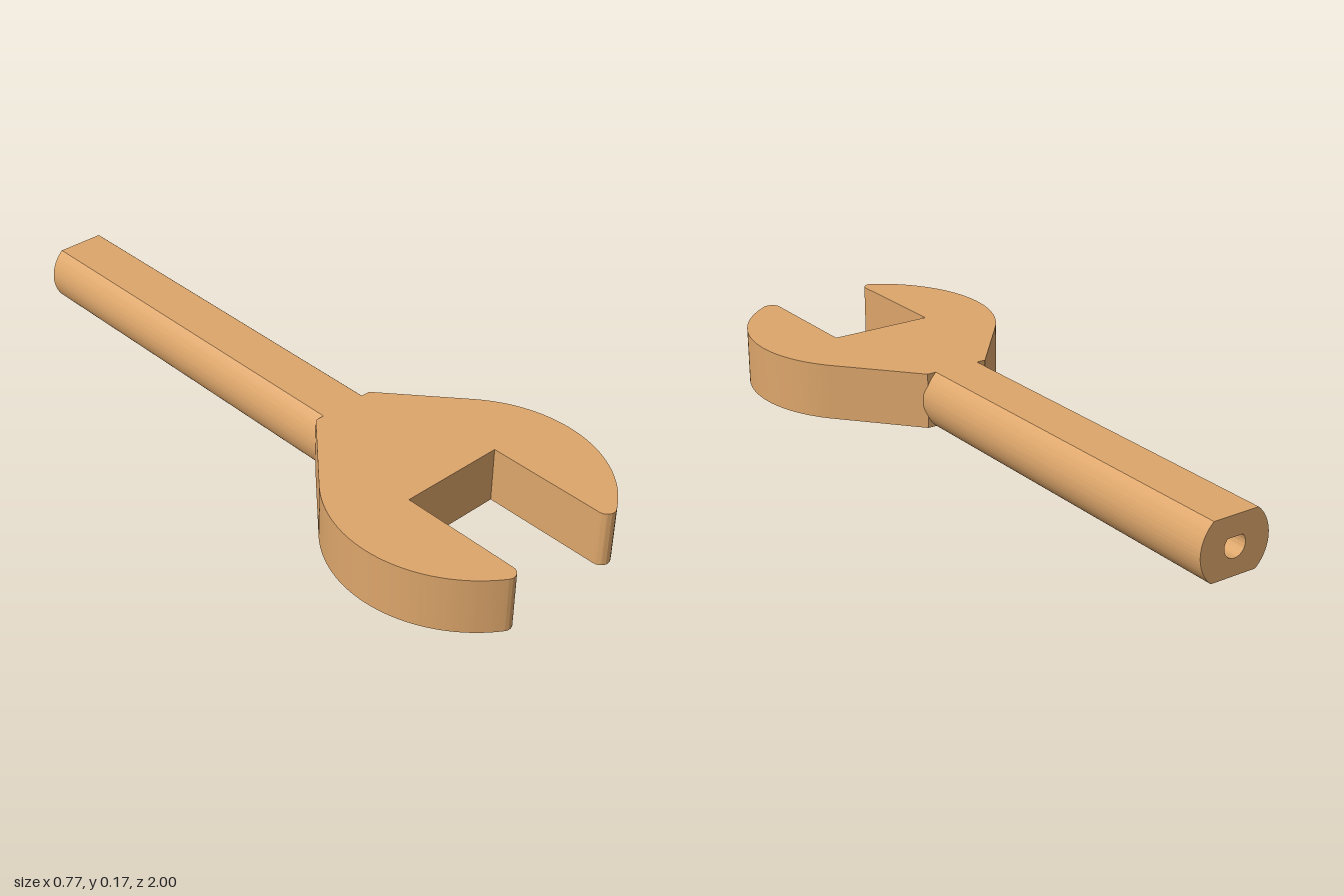
import * as THREE from 'three';
import { toCreasedNormals } from 'three/addons/utils/BufferGeometryUtils.js';

const THICK = 0.167; // overall thickness

function extrude(shape, depth) {
  return new THREE.ExtrudeGeometry(shape, { depth, bevelEnabled: false, curveSegments: 32 });
}

// Open-ended jaw outline, drawn in x / z
function headShape() {
  const R = 0.383, cz = 0.669;          // outer round
  const r = 0.027, jaw = 0.16;          // tip rounding, half jaw opening
  const neckX = 0.1, neckZ = 0.2, floorZ = 0.615;
  const tipX = jaw + r;
  const tipA = Math.acos(tipX / (R - r));
  const tipZ = cz + (R - r) * Math.sin(tipA);
  // angle where the straight neck flank touches the round
  const d = Math.hypot(neckX, cz - neckZ);
  const flankA = Math.atan2(neckZ - cz, neckX) + Math.acos(R / d);

  const s = new THREE.Shape();
  s.moveTo(-neckX, neckZ);
  s.lineTo(neckX, neckZ);
  s.absarc(0, cz, R, flankA, tipA, false);
  s.absarc(tipX, tipZ, r, tipA, Math.PI, false);
  s.lineTo(jaw, floorZ);
  s.lineTo(-jaw, floorZ);
  s.absarc(-tipX, tipZ, r, 0, Math.PI - tipA, false);
  s.absarc(0, cz, R, Math.PI - tipA, Math.PI - flankA, false);
  s.closePath();
  return s;
}

// Round bar with flats above and below, and a teardrop bore
function handleShape() {
  const R = 0.11, a = Math.asin(THICK / 2 / R);
  const s = new THREE.Shape();
  s.absarc(0, 0, R, -a, a, false);
  s.absarc(0, 0, R, Math.PI - a, Math.PI + a, false);
  s.closePath();
  const r = 0.034, bore = new THREE.Path();
  bore.moveTo(0, r * Math.SQRT2);
  bore.absarc(0, 0, r, Math.PI * 0.75, Math.PI * 2.25, false);
  bore.closePath();
  s.holes.push(bore);
  return s;
}

export function createModel() {
  const group = new THREE.Group();
  group.name = 'wrench';
  const tan = new THREE.MeshStandardMaterial({ color: 0xdda66b });
  tan.name = 'tan';

  const headGeo = extrude(headShape(), THICK);
  headGeo.rotateX(Math.PI / 2).translate(0, THICK, 0);
  const head = new THREE.Mesh(toCreasedNormals(headGeo, 0.4), tan);
  head.name = 'head';

  // runs slightly into the neck of the head
  const handleGeo = extrude(handleShape(), 1.21);
  handleGeo.translate(0, THICK / 2, -1);
  const handle = new THREE.Mesh(toCreasedNormals(handleGeo, 0.4), tan);
  handle.name = 'handle';

  group.add(head, handle);
  return group;
}
